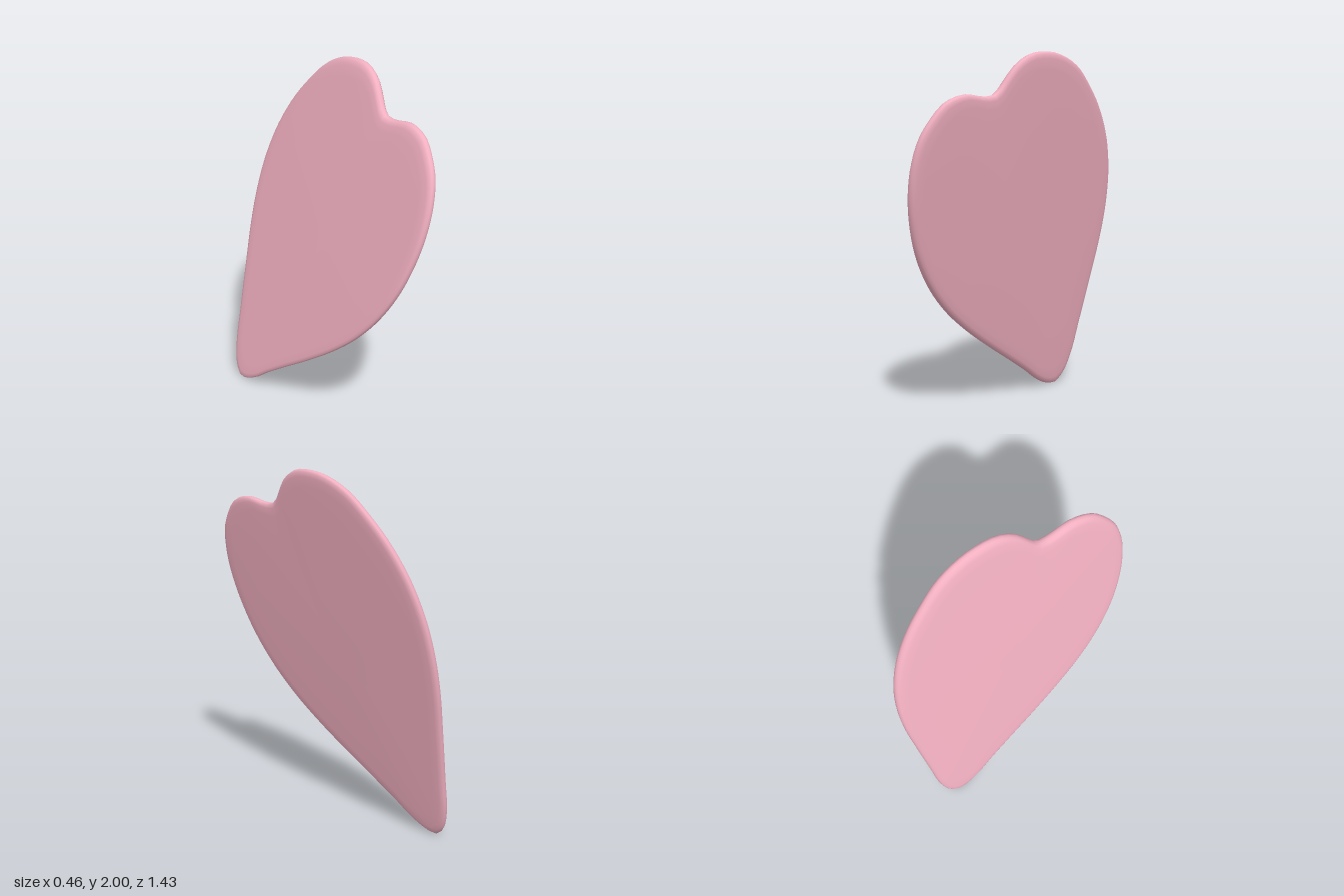
import * as THREE from 'three';

// Heart-shaped outline as (z, y), counter-clockwise when seen from +x
const OUTLINE = [
  [.27, 1.79], [.33, 1.785], [.45, 1.803], [.52, 1.79], [.58, 1.76], [.64, 1.69], [.69, 1.6],
  [.714, 1.47], [.708, 1.32], [.67, 1.15], [.6, .97], [.49, .79], [.35, .63], [.18, .485],
  [0, .355], [-.2, .22], [-.33, .13], [-.43, .055], [-.52, .01], [-.58, .003], [-.63, .05],
  [-.665, .17], [-.68, .38], [-.7, .7], [-.71, .9], [-.704, 1.1], [-.67, 1.31], [-.6, 1.51],
  [-.5, 1.68], [-.39, 1.81], [-.27, 1.92], [-.13, 1.985], [0, 2], [.08, 1.985],
  [.155, 1.935], [.21, 1.86], [.24, 1.815],
];

// Half cross-section: scale of the outline and offset from the middle surface
const HALF = [[0, .034], [.35, .033], [.7, .031], [.9, .029], [.96, .027], [.985, .021], [.996, .012]];
const SECTION = [
  ...HALF.map(([s, x]) => [s, -x]),
  [1, 0],
  ...HALF.slice().reverse(),
];

// Tilt of the petal's middle surface
const lean = (y, z) => -0.266 + 0.233 * y - 0.096 * z;

function petalGeometry(count = 120, cz = 0, cy = 1.1) {
  const curve = new THREE.CatmullRomCurve3(
    OUTLINE.map(([z, y]) => new THREE.Vector3(0, y, z)), true, 'centripetal');
  const rim = curve.getSpacedPoints(count).slice(0, count);
  const position = [], index = [];
  SECTION.forEach(([s, offset], i) => {
    rim.forEach((p, j) => {
      const y = cy + (p.y - cy) * s, z = cz + (p.z - cz) * s;
      position.push(lean(y, z) + offset, y, z);
      if (i === SECTION.length - 1) return;
      const a = i * count + j, b = i * count + (j + 1) % count;
      if (i > 0) index.push(a, b, a + count);
      if (i < SECTION.length - 2) index.push(b, b + count, a + count);
      else return;
      if (i === 0) return;
    });
  });
  const geometry = new THREE.BufferGeometry();
  geometry.setAttribute('position', new THREE.Float32BufferAttribute(position, 3));
  geometry.setIndex(index);
  geometry.computeVertexNormals();
  // The collapsed end rings face straight out of the two sides
  const normal = geometry.attributes.normal;
  const face = new THREE.Vector3(1, -0.233, 0.096).normalize();
  const last = (SECTION.length - 1) * count;
  for (let j = 0; j < count; j++) {
    normal.setXYZ(j, -face.x, -face.y, -face.z);
    normal.setXYZ(last + j, face.x, face.y, face.z);
  }
  return geometry;
}

export function createModel() {
  const group = new THREE.Group();
  group.name = 'heartPetal';
  const petal = new THREE.Mesh(petalGeometry(), new THREE.MeshStandardMaterial({ color: 0xf2b0c1 }));
  petal.name = 'petal';
  group.add(petal);
  return group;
}
